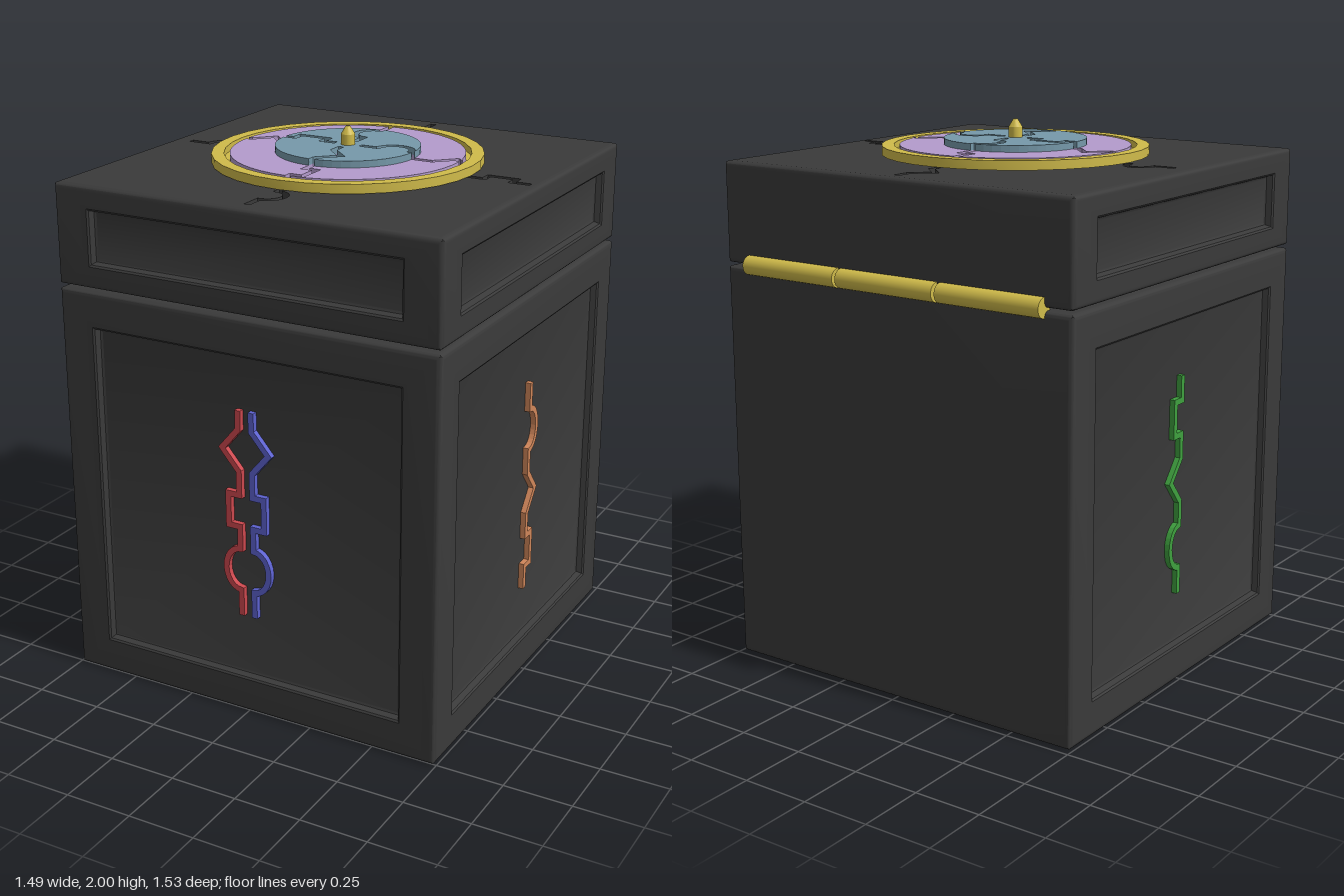
import * as THREE from 'three';
import { mergeGeometries, toCreasedNormals } from 'three/addons/utils/BufferGeometryUtils.js';

const V = (x, y) => new THREE.Vector2(x, y);
const mat = (color) => new THREE.MeshStandardMaterial({ color });
const MATS = {
  dark: mat(0x3a3a3a), gold: mat(0xd0bb4a), purple: mat(0xb39bcc), teal: mat(0x7699aa),
  red: mat(0xcc484e), blue: mat(0x5d62d0), orange: mat(0xd0865a), green: mat(0x3fa03f),
};
const HALF = 0.745, EDGE = 0.02, RECESS = 0.03, STROKE = 0.011;

function add(parent, name, geometry, material) {
  const mesh = new THREE.Mesh(geometry, MATS[material]);
  mesh.name = name;
  parent.add(mesh);
  return mesh;
}

// One box face: nested rectangles [insetX, insetY, depth] joined and capped
function face(hw, hh, dist, rings) {
  const pos = [], idx = [];
  rings.forEach(([ix, iy, d]) => {
    const x = hw - ix, y = hh - iy, z = dist + d;
    pos.push(-x, -y, z, x, -y, z, x, y, z, -x, y, z);
  });
  for (let r = 0; r < rings.length - 1; r++) {
    for (let k = 0; k < 4; k++) {
      const a = r * 4 + k, b = r * 4 + (k + 1) % 4;
      idx.push(a, b, b + 4, a, b + 4, a + 4);
    }
  }
  const e = (rings.length - 1) * 4;
  idx.push(e, e + 1, e + 2, e, e + 2, e + 3);
  const g = new THREE.BufferGeometry();
  g.setAttribute('position', new THREE.Float32BufferAttribute(pos, 3));
  g.setIndex(idx);
  return g;
}

// Rounded block with recessed panels on the front and both sides
function panelledBlock(y0, y1, insetY, topRecess) {
  const hh = (y1 - y0) / 2, ix = 0.135;
  const round = [45, 60, 75, 90].map((deg) => {
    const t = deg * Math.PI / 180, i = EDGE * (1 - Math.cos(t));
    return [i, i, -EDGE * (1 - Math.sin(t))];
  });
  const panel = [...round, [ix, insetY, 0], [ix + 0.007, insetY + 0.007, -0.005],
    [ix + 0.014, insetY + 0.014, -RECESS + 0.004], [ix + 0.022, insetY + 0.022, -RECESS]];
  const top = topRecess ? [...round, [EDGE, EDGE, -RECESS]] : round;
  const side = (rings, turn) => face(HALF, hh, HALF, rings).rotateY(turn);
  const g = mergeGeometries([
    side(panel, 0), side(panel, Math.PI / 2), side(panel, -Math.PI / 2), side(round, Math.PI),
    face(HALF, HALF, hh, top).rotateX(-Math.PI / 2),
    face(HALF, HALF, hh, round).rotateX(Math.PI / 2),
  ]);
  return toCreasedNormals(g, 0.6).translate(0, (y0 + y1) / 2, 0);
}

// Centre line built from circle, zigzag and square symbols [kind, from, to]
function linePoints(start, end, symbols) {
  const pts = [V(start, 0)];
  for (const [kind, a, b] of symbols) {
    const m = (a + b) / 2;
    if (kind === 'zigzag') pts.push(V(a, 0), V(m, 0.066), V(b, 0));
    if (kind === 'square') pts.push(V(a, 0), V(a, 0.045), V(b, 0.045), V(b, 0));
    if (kind === 'circle') {
      for (let i = 0; i <= 12; i++) {
        const t = Math.PI * i / 12;
        pts.push(V(m - (b - a) / 2 * Math.cos(t), 0.06 * Math.sin(t)));
      }
    }
  }
  if (pts[pts.length - 1].x < end) pts.push(V(end, 0));
  return pts;
}

// Turn a line to a heading; sign picks the side the symbols bulge to
function place(pts, angle, sign, ox = 0, oy = 0) {
  const c = Math.cos(angle), s = Math.sin(angle);
  return pts.map((p) => V(ox + p.x * c - sign * p.y * s, oy + p.x * s + sign * p.y * c));
}

// Mitred left and right sides of a stroke
function strokeSides(pts) {
  const left = [], right = [];
  pts.forEach((p, i) => {
    const a = pts[Math.max(i - 1, 0)], b = pts[Math.min(i + 1, pts.length - 1)];
    const d1 = (i ? p.clone().sub(a) : b.clone().sub(p)).normalize();
    const d2 = (i < pts.length - 1 ? b.clone().sub(p) : d1.clone()).normalize();
    const n = V(-d1.y - d2.y, d1.x + d2.x).normalize();
    n.multiplyScalar(STROKE / Math.max(0.4, n.x * -d1.y + n.y * d1.x));
    left.push(p.clone().add(n));
    right.push(p.clone().sub(n));
  });
  return { left, right };
}
function strokeOutline(pts) {
  const { left, right } = strokeSides(pts);
  return [...right, ...left.reverse()];
}
const extrude = (shape, depth) => new THREE.ExtrudeGeometry(shape, { depth, bevelEnabled: false });
const lay = (geometry, y) => geometry.rotateX(-Math.PI / 2).translate(0, y, 0);

function clip(pts, radius) {
  const i = pts.findIndex((p) => p.length() > radius);
  if (i < 0) return pts;
  const a = pts[i - 1], b = pts[i];
  let t = 0;
  while (t < 1 && a.clone().lerp(b, t).length() < radius) t += 0.01;
  return [...pts.slice(0, i), a.clone().lerp(b, t)];
}

// Disc whose outline runs in and out along each groove
function groovedDisc(radius, lines, depth) {
  const sides = lines.map((l) => strokeSides(clip(l, radius)));
  const out = [];
  sides.forEach(({ left, right }, i) => {
    const next = sides[(i + 1) % sides.length].right;
    out.push(...right.slice().reverse(), ...left);
    const a0 = left[left.length - 1].angle();
    let a1 = next[next.length - 1].angle();
    if (a1 < a0) a1 += 2 * Math.PI;
    for (let k = 0; k <= 12; k++) {
      const a = a0 + (a1 - a0) * k / 12;
      out.push(V(radius * Math.cos(a), radius * Math.sin(a)));
    }
  });
  return extrude(new THREE.Shape(out), depth);
}

export function createModel() {
  const model = new THREE.Group();
  model.name = 'puzzleBox';
  const box = new THREE.Group();
  box.name = 'box';
  box.position.z = 0.015;
  model.add(box);

  // Body and lid
  add(box, 'body', panelledBlock(0, 1.495, 0.13, false), 'dark');
  add(box, 'lid', panelledBlock(1.505, 1.872, 0.08, true), 'dark');

  // Lid top with four coloured grooves: [name, colour, heading, sign, end, symbol]
  const Q = Math.PI / 2, W = HALF - EDGE;
  const plate = new THREE.Shape([V(-W, -W), V(W, -W), V(W, W), V(-W, W)]);
  [
    ['right', 'orange', 0, 1, 0.71, ['square', 0.535, 0.64]],
    ['back', 'red', Q, 1, 0.69, ['zigzag', 0.5, 0.628]],
    ['left', 'green', 2 * Q, -1, 0.67, ['circle', 0.485, 0.59]],
    ['front', 'blue', 3 * Q, 1, 0.685, ['circle', 0.49, 0.61]],
  ].forEach(([name, color, angle, sign, end, symbol]) => {
    const outline = strokeOutline(place(linePoints(0.46, end, [symbol]), angle, sign));
    plate.holes.push(new THREE.Path(outline));
    add(box, name + 'LidGroove', lay(extrude(new THREE.Shape(outline), 0.003), 1.872 - RECESS), color);
  });
  add(box, 'lidTop', lay(extrude(plate, RECESS), 1.872 - RECESS), 'dark');

  // Raised lines on the panels: [name, colour, face turn, x, sign, top, length, symbols]
  const pair = [['zigzag', 0.07, 0.225], ['square', 0.315, 0.435], ['circle', 0.52, 0.68]];
  [
    ['frontLeftLine', 'blue', 0, 0.028, 1, 1.16, 0.78, pair],
    ['frontRightLine', 'red', 0, -0.025, -1, 1.16, 0.78, pair],
    ['leftLine', 'orange', Q, 0.02, 1, 1.15, 0.815,
      [['circle', 0.1, 0.26], ['zigzag', 0.35, 0.51], ['square', 0.6, 0.725]]],
    ['rightLine', 'green', -Q, -0.02, -1, 1.15, 0.815,
      [['square', 0.09, 0.215], ['zigzag', 0.305, 0.465], ['circle', 0.555, 0.715]]],
  ].forEach(([name, color, turn, x, sign, top, length, symbols]) => {
    const pts = place(linePoints(0, length, symbols), -Q, sign, x, top);
    const g = extrude(new THREE.Shape(strokeOutline(pts)), 0.022);
    add(box, name, g.translate(0, 0, HALF - RECESS - 0.002).rotateY(turn), color);
  });

  // Dial: gold ring and base, grooved outer and inner discs, centre knob
  const ring = [[0.443, 1.877], [0.488, 1.877], [0.488, 1.91], [0.443, 1.91], [0.443, 1.877]];
  add(box, 'dialRing', toCreasedNormals(
    new THREE.LatheGeometry(ring.map(([r, y]) => V(r, y)), 32), 0.5), 'gold');
  add(box, 'dialBase', new THREE.CylinderGeometry(0.443, 0.443, 0.013, 32).translate(0, 1.8785, 0), 'gold');
  const lines = [
    [0, 1, [['circle', 0.12, 0.25], ['zigzag', 0.335, 0.467]]],
    [Q, 1, [['circle', 0.12, 0.25], ['square', 0.33, 0.45]]],
    [2 * Q, -1, [['square', 0.105, 0.22], ['zigzag', 0.277, 0.403]]],
    [3 * Q, 1, [['zigzag', 0.105, 0.236], ['square', 0.305, 0.4]]],
  ].map(([angle, sign, symbols]) => place(linePoints(0.05, 0.46, symbols), angle, sign));
  add(box, 'outerDisc', lay(groovedDisc(0.422, lines, 0.025), 1.885), 'purple');
  add(box, 'innerDisc', lay(groovedDisc(0.261, lines, 0.024), 1.91), 'teal');
  const knob = [[0, 1.93], [0.025, 1.93], [0.025, 1.972], [0.011, 1.995], [0.006, 2], [0, 2]];
  add(box, 'knob', toCreasedNormals(
    new THREE.LatheGeometry(knob.map(([r, y]) => V(r, y)), 20), 0.5), 'gold');

  // Hinge barrels along the back seam
  for (const i of [-1, 0, 1]) {
    const barrel = new THREE.CylinderGeometry(0.035, 0.035, 0.415, 24).rotateZ(Q);
    add(box, 'hingeBarrel', barrel.translate(i * 0.428, 1.507, -0.747), 'gold');
  }
  return model;
}
